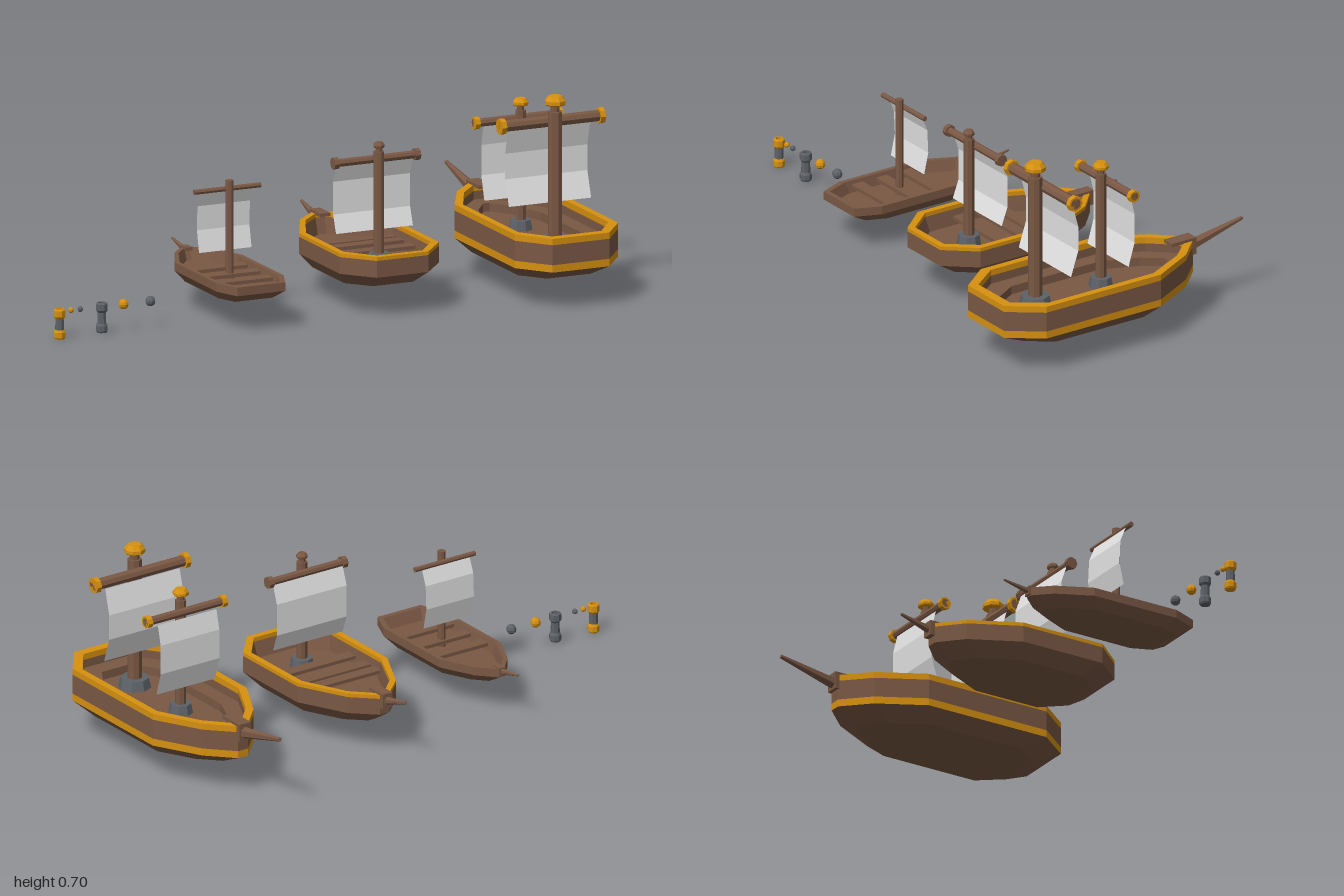
import * as THREE from 'three';

const paint = (name, color, side = THREE.FrontSide) =>
  Object.assign(new THREE.MeshStandardMaterial({ color, flatShading: true, side }), { name });

export function createModel() {
  const wood = paint('wood', 0x7a5844);
  const gold = paint('gold', 0xd6900f);
  const iron = paint('iron', 0x5d6268);
  const cloth = paint('sailcloth', 0xe2e2e2, THREE.DoubleSide);

  const add = (parent, name, geometry, material, x = 0, y = 0, z = 0) => {
    const mesh = new THREE.Mesh(geometry, material);
    mesh.name = name;
    mesh.position.set(x, y, z);
    parent.add(mesh);
    return mesh;
  };
  const lathe = (points, sides = 8) =>
    new THREE.LatheGeometry(points.map(([r, y]) => new THREE.Vector2(r, y)), sides);

  // Triangles from a list of [x, y, z] corners
  const facets = (corners) => {
    const g = new THREE.BufferGeometry();
    g.setAttribute('position', new THREE.Float32BufferAttribute(corners.flat(), 3));
    g.computeVertexNormals();
    return g;
  };

  // Hull: one deck outline scaled through a stack of layers, outside up and inside down.
  // Each layer is [y, x scale, z scale, material of the band leading to it].
  function hull(ship, outline, layers) {
    const loop = [...outline, ...outline.map(([x, z]) => [-x, z]).reverse()];
    const zs = outline.map((p) => p[1]);
    const mid = (Math.min(...zs) + Math.max(...zs)) / 2;
    const rings = layers.map(([y, sx, sz]) =>
      loop.map(([x, z]) => [x * sx, y, mid + (z - mid) * sz]));
    const n = loop.length;
    rings.slice(1).forEach((upper, k) => {
      const lower = rings[k], corners = [];
      for (let i = 0; i < n; i++) {
        const j = (i + 1) % n;
        corners.push(lower[i], lower[j], upper[j], lower[i], upper[j], upper[i]);
      }
      add(ship, 'hullBand', facets(corners), layers[k + 1][3]);
    });
    const cap = (ring, up) => {
      const corners = [], centre = [0, ring[0][1], mid];
      for (let i = 0; i < n; i++) {
        const j = (i + 1) % n;
        corners.push(centre, ring[up ? i : j], ring[up ? j : i]);
      }
      return facets(corners);
    };
    add(ship, 'keelPlate', cap(rings[0], false), wood);
    add(ship, 'deck', cap(rings[rings.length - 1], true), wood);
  }

  // Mast with optional knob and foot ring, yard with end discs, billowing sail
  function rig(ship, o) {
    const g = new THREE.Group();
    g.name = 'mastAndSail';
    ship.add(g);
    add(g, 'mast', new THREE.CylinderGeometry(o.r, o.r, o.top - o.floor, 8), wood,
      0, (o.top + o.floor) / 2, o.z);
    if (o.knob) {
      const k = o.knob, h = o.knobTop - o.top, neck = h * 0.42;
      add(g, 'mastNeck', new THREE.CylinderGeometry(o.r * 0.65, o.r * 0.65, neck, 8), wood,
        0, o.top + neck / 2, o.z);
      add(g, 'mastKnob', lathe([[0, neck], [k * 0.9, neck], [k, neck + 0.004],
        [k, h * 0.72], [k * 0.65, h], [0, h]]), o.trim, 0, o.top, o.z);
      add(g, 'mastFoot', new THREE.CylinderGeometry(o.foot * 0.85, o.foot, 0.035, 8), iron,
        0, o.floor + 0.0175, o.z);
    }
    const yard = new THREE.Group();
    yard.name = 'yard';
    yard.position.set(0, o.yardY, o.yardZ);
    yard.rotation.z = Math.PI / 2;
    g.add(yard);
    add(yard, 'yardPole', new THREE.CylinderGeometry(o.yardR, o.yardR, o.half * 2, 8), wood);
    if (o.disc) for (const s of [-1, 1])
      add(yard, 'yardEnd', new THREE.CylinderGeometry(o.disc, o.disc, 0.018, 8), o.trim,
        0, s * (o.half - 0.009), 0);
    const corners = [];
    for (let i = 0; i + 1 < o.sail.length; i++) {
      const [z0, y0] = o.sail[i], [z1, y1] = o.sail[i + 1], w = o.sailHalf;
      corners.push([-w, y0, z0], [-w, y1, z1], [w, y1, z1],
        [-w, y0, z0], [w, y1, z1], [w, y0, z0]);
    }
    add(g, 'sail', facets(corners), cloth);
  }

  // Bowsprit: mounting block and a tapered spar between two [y, z] points
  function bowsprit(ship, w, top, bottom, zBack, zFront, from, to, r) {
    add(ship, 'bowTop', new THREE.BoxGeometry(w * 2, 0.012, zBack - zFront), wood,
      0, top - 0.006, (zBack + zFront) / 2);
    add(ship, 'bowBlock', new THREE.BoxGeometry(w * 2, top - bottom, 0.026), wood,
      0, (top + bottom) / 2, zFront + 0.013);
    const a = new THREE.Vector3(0, ...from), b = new THREE.Vector3(0, ...to);
    const d = b.clone().sub(a);
    const spar = add(ship, 'bowsprit', new THREE.CylinderGeometry(r * 0.35, r, d.length(), 6), wood);
    spar.position.copy(a).add(b).multiplyScalar(0.5);
    spar.quaternion.setFromUnitVectors(new THREE.Vector3(0, 1, 0), d.normalize());
  }

  const bench = (ship, half, y, z, depth) =>
    add(ship, 'bench', new THREE.BoxGeometry(half * 2, 0.012, depth), wood, 0, y, z);

  const model = new THREE.Group();
  const newShip = (name, x) => {
    const ship = new THREE.Group();
    ship.name = name;
    ship.position.x = x;
    model.add(ship);
    return ship;
  };

  // Small boat
  const small = newShip('smallBoat', -0.32);
  hull(small, [[0.09, 0.36], [0.127, 0.27], [0.127, -0.06], [0.068, -0.185], [0.012, -0.245]], [
    [0.1, 0.78, 0.8], [0.135, 1, 1, wood], [0.165, 1, 1, wood],
    [0.165, 0.87, 0.94, wood], [0.125, 0.8, 0.88, wood]]);
  for (const z of [0.008, 0.108, 0.208]) bench(small, 0.108, 0.146, z, 0.045);
  rig(small, { z: 0.108, r: 0.014, floor: 0.125, top: 0.477, yardY: 0.443, yardZ: 0.09,
    yardR: 0.009, half: 0.125, sailHalf: 0.099,
    sail: [[0.083, 0.437], [0.062, 0.385], [0.058, 0.3], [0.075, 0.224]] });
  bowsprit(small, 0.013, 0.17, 0.138, -0.21, -0.252, [0.155, -0.245], [0.174, -0.345], 0.011);

  // Medium ship
  const medium = newShip('mediumShip', 0.205);
  hull(medium, [[0.097, 0.375], [0.187, 0.27], [0.187, -0.05], [0.1, -0.225], [0.02, -0.3]], [
    [0.1, 0.78, 0.78], [0.148, 1, 1, wood], [0.207, 1, 1, wood], [0.22, 1, 1, gold],
    [0.22, 0.88, 0.93, gold], [0.205, 0.88, 0.93, gold], [0.15, 0.83, 0.88, wood]]);
  for (const z of [-0.03, 0.03, 0.12]) bench(medium, 0.16, 0.176, z, 0.045);
  rig(medium, { z: 0.188, r: 0.019, floor: 0.15, top: 0.54, knob: 0.02, knobTop: 0.572,
    trim: wood, foot: 0.043, yardY: 0.508, yardZ: 0.163, yardR: 0.014, half: 0.162, disc: 0.021,
    sailHalf: 0.145, sail: [[0.153, 0.5], [0.13, 0.435], [0.13, 0.32], [0.153, 0.257]] });
  bowsprit(medium, 0.02, 0.228, 0.175, -0.235, -0.318, [0.2, -0.31], [0.231, -0.424], 0.015);

  // Large two-masted ship
  const large = newShip('largeShip', 0.801);
  hull(large, [[0.107, 0.534], [0.195, 0.42], [0.195, -0.055], [0.107, -0.22], [0.02, -0.31]], [
    [0.094, 0.77, 0.77], [0.139, 1, 1, wood], [0.165, 1, 1, gold], [0.235, 1, 1, wood],
    [0.257, 1, 1, gold], [0.257, 0.87, 0.92, gold], [0.235, 0.87, 0.92, gold],
    [0.205, 0.87, 0.92, wood], [0.205, 0.58, 0.77, wood], [0.175, 0.58, 0.77, wood]]);
  rig(large, { z: 0.33, r: 0.025, floor: 0.175, top: 0.648, knob: 0.037, knobTop: 0.702,
    trim: gold, foot: 0.058, yardY: 0.607, yardZ: 0.298, yardR: 0.02, half: 0.195, disc: 0.028,
    sailHalf: 0.155, sail: [[0.284, 0.59], [0.26, 0.5], [0.26, 0.41], [0.29, 0.32]] });
  rig(large, { z: 0.058, r: 0.019, floor: 0.175, top: 0.592, knob: 0.028, knobTop: 0.634,
    trim: gold, foot: 0.043, yardY: 0.557, yardZ: 0.032, yardR: 0.015, half: 0.165, disc: 0.022,
    sailHalf: 0.122, sail: [[0.02, 0.54], [0.003, 0.47], [0.003, 0.364], [0.028, 0.28]] });
  bowsprit(large, 0.024, 0.267, 0.205, -0.222, -0.322, [0.232, -0.315], [0.28, -0.528], 0.021);

  // Upright cannons, the first with gold muzzle and breech
  const cannonBands = [
    [[0, 0], [0.018, 0], [0.021, 0.006], [0.021, 0.024], [0.016, 0.032]],
    [[0.016, 0.032], [0.015, 0.07]],
    [[0.015, 0.07], [0.021, 0.078], [0.021, 0.1], [0.017, 0.104], [0.012, 0.104],
      [0.012, 0.085], [0, 0.085]]];
  const cannonNames = ['cannonBreech', 'cannonBarrel', 'cannonMuzzle'];
  [[-0.979, 0, [gold, iron, gold]], [-0.82, 0.006, [iron, iron, iron]]].forEach(([x, y, mats]) => {
    const cannon = newShip('cannon', x);
    cannonBands.forEach((band, i) => add(cannon, cannonNames[i], lathe(band), mats[i], 0, y, 0.147));
  });

  // Cannonballs
  for (const [x, r, mat] of [[-0.935, 0.01, gold], [-0.9, 0.01, iron],
    [-0.737, 0.018, gold], [-0.636, 0.018, iron]])
    add(model, 'cannonball', new THREE.SphereGeometry(r, 8, 6), mat, x, 0.095, 0.145);

  return model;
}
